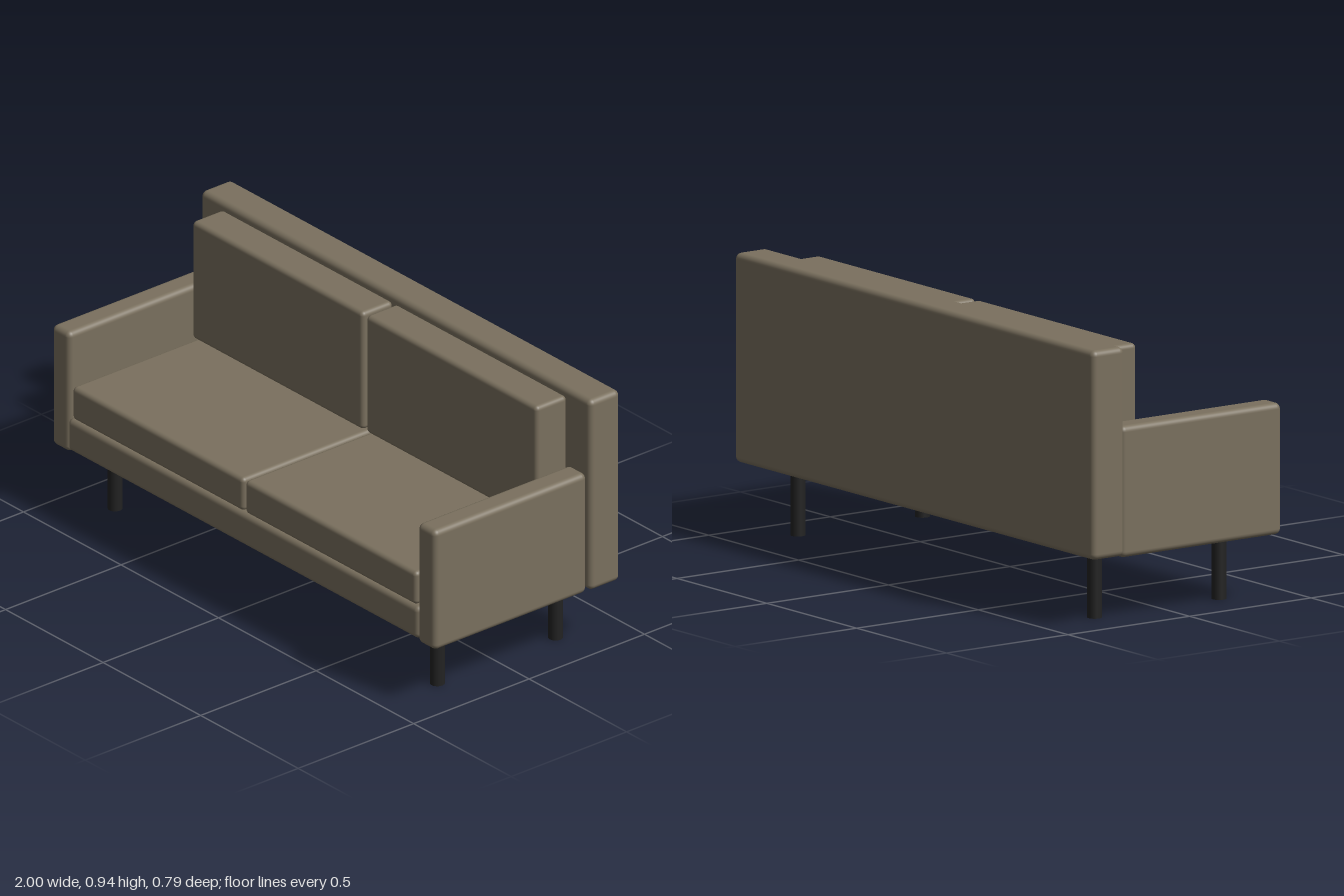
import * as THREE from 'three';
import { RoundedBoxGeometry } from 'three/addons/geometries/RoundedBoxGeometry.js';

export function createModel() {
  const sofa = new THREE.Group();
  sofa.name = 'sofa';
  const fabric = new THREE.MeshStandardMaterial({ color: 0x7a705e });
  const legPaint = new THREE.MeshStandardMaterial({ color: 0x222222 });

  // Upholstered block given by its extents along each axis
  function block(name, [x0, x1], [y0, y1], [z0, z1], radius) {
    const mesh = new THREE.Mesh(
      new RoundedBoxGeometry(x1 - x0, y1 - y0, z1 - z0, 4, radius), fabric);
    mesh.position.set((x0 + x1) / 2, (y0 + y1) / 2, (z0 + z1) / 2);
    mesh.name = name;
    sofa.add(mesh);
  }

  // Frame
  block('backrest', [-1, 1], [0.235, 0.943], [-0.397, -0.265], 0.02);
  block('base', [-0.9, 0.9], [0.235, 0.355], [-0.268, 0.397], 0.02);

  // Mirrored parts: arms, cushions and legs
  for (const [side, s] of [['left', 1], ['right', -1]]) {
    const span = (a, b) => (s > 0 ? [a, b] : [-b, -a]);
    block(side + 'Arm', span(0.892, 0.983), [0.225, 0.67], [-0.267, 0.394], 0.02);
    block(side + 'SeatCushion', span(0.004, 0.882), [0.355, 0.477], [-0.265, 0.391], 0.016);
    block(side + 'BackCushion', span(0.008, 0.884), [0.483, 0.92], [-0.265, -0.13], 0.016);

    for (const [end, z] of [['Front', 0.25], ['Back', -0.262]]) {
      const leg = new THREE.Mesh(new THREE.CylinderGeometry(0.025, 0.025, 0.245, 24), legPaint);
      leg.position.set(s * 0.826, 0.1225, z);
      leg.name = side + end + 'Leg';
      sofa.add(leg);
    }
  }
  return sofa;
}
